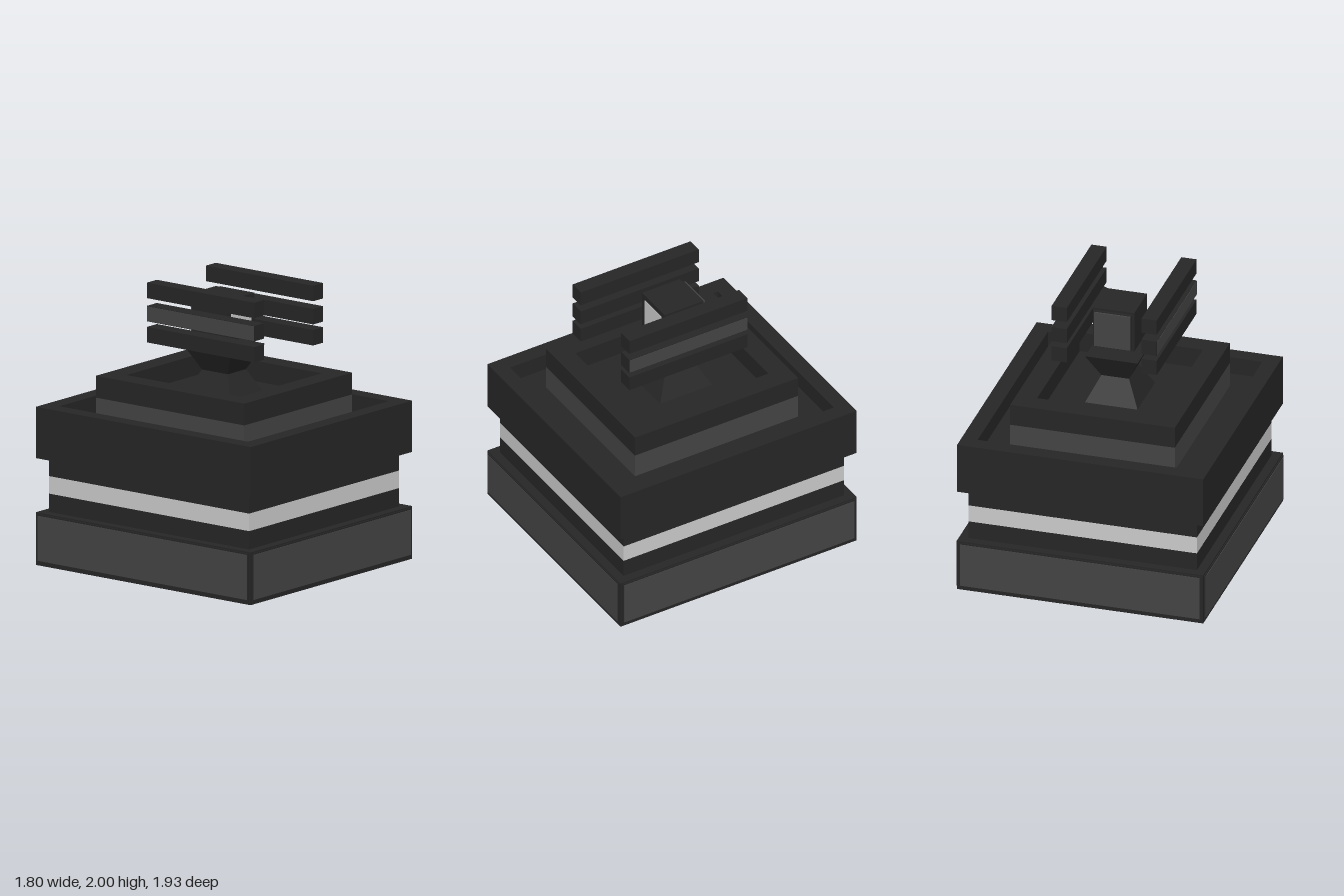
import * as THREE from 'three';

const dark = new THREE.MeshStandardMaterial({ color: 0x262626 });
const grey = new THREE.MeshStandardMaterial({ color: 0x444444 });
const light = new THREE.MeshStandardMaterial({ color: 0xc8c8c8 });

export function createModel() {
  const model = new THREE.Group();

  const add = (name, geometry, material) => {
    const mesh = new THREE.Mesh(geometry, material);
    mesh.name = name;
    model.add(mesh);
    return mesh;
  };

  // Box given by its limits on each axis
  const box = (name, material, [x0, x1], [y0, y1], [z0, z1]) => {
    const mesh = add(name, new THREE.BoxGeometry(x1 - x0, y1 - y0, z1 - z0), material);
    mesh.position.set((x0 + x1) / 2, (y0 + y1) / 2, (z0 + z1) / 2);
  };

  // Centred block from half width, half depth and heights
  const block = (name, material, hx, hz, y0, y1) =>
    box(name, material, [-hx, hx], [y0, y1], [-hz, hz]);

  // Rectangular wall ring, open in the middle
  const ring = (name, material, hx, hz, ix, iz, y0, y1) => {
    const rect = (P, a, b) => new P([[-a, -b], [a, -b], [a, b], [-a, b]].map(p => new THREE.Vector2(...p)));
    const shape = rect(THREE.Shape, hx, hz);
    shape.holes.push(rect(THREE.Path, ix, iz));
    const geometry = new THREE.ExtrudeGeometry(shape, { depth: y1 - y0, bevelEnabled: false });
    add(name, geometry.rotateX(-Math.PI / 2).translate(0, y0, 0), material);
  };

  // Four-sided frustum with a rectangular plan
  const frustum = (name, bottom, top, y0, y1) => {
    const geometry = new THREE.BoxGeometry(2, 1, 2);
    const p = geometry.attributes.position;
    for (let i = 0; i < p.count; i++) {
      const [hx, hz] = p.getY(i) > 0 ? top : bottom;
      p.setXYZ(i, p.getX(i) * hx, p.getY(i) > 0 ? y1 : y0, p.getZ(i) * hz);
    }
    geometry.computeVertexNormals();
    add(name, geometry, dark);
  };

  // Base with raised side panels
  block('base', dark, 0.89, 0.955, 0, 0.375);
  block('basePanelsFrontBack', dark, 0.875, 0.963, 0.02, 0.365);
  block('basePanelsSides', dark, 0.898, 0.94, 0.02, 0.365);
  block('baseFacesFrontBack', grey, 0.865, 0.967, 0.035, 0.355);
  block('baseFacesSides', grey, 0.902, 0.93, 0.035, 0.355);

  // Recessed waist with a light stripe
  block('waistLower', dark, 0.825, 0.89, 0.375, 0.505);
  block('waistStripe', light, 0.825, 0.89, 0.505, 0.63);
  block('waistUpper', dark, 0.825, 0.89, 0.63, 0.76);

  // Upper tray
  block('trayFloor', dark, 0.89, 0.955, 0.76, 1.0);
  ring('trayWall', dark, 0.89, 0.955, 0.775, 0.84, 1.0, 1.125);

  // Inner tier with its own shallow well
  ring('tierBand', grey, 0.595, 0.66, 0.445, 0.51, 1.0, 1.18);
  block('tierFloor', dark, 0.445, 0.51, 1.0, 1.19);
  ring('tierWall', dark, 0.595, 0.66, 0.445, 0.51, 1.18, 1.335);

  // Hourglass pedestal
  frustum('pedestalFoot', [0.19, 0.21], [0.1, 0.115], 1.19, 1.37);
  frustum('pedestalHead', [0.1, 0.115], [0.19, 0.21], 1.37, 1.55);

  // Floating head block with front window and back plate
  box('headBlock', dark, [-0.15, 0.15], [1.61, 1.91], [-0.155, 0.15]);
  box('headWindow', light, [-0.11, 0.11], [1.65, 1.87], [0.14, 0.154]);
  box('headBackPlate', dark, [-0.135, 0.135], [1.625, 1.895], [-0.175, -0.155]);
  box('headBackFace', grey, [-0.13, 0.13], [1.63, 1.89], [-0.188, -0.175]);

  // Three floating rails on each side, the middle one with a lighter outer face
  for (const s of [-1, 1]) {
    const span = (a, b) => (s > 0 ? [a, b] : [-b, -a]);
    [1.575, 1.725, 1.89].forEach((y, i) => {
      box('rail', dark, span(0.27, 0.38), [y, y + 0.11], [-0.38, 0.575]);
      if (i === 1) box('railFace', grey, span(0.378, 0.383), [y + 0.003, y + 0.107], [-0.377, 0.572]);
    });
  }

  return model;
}
